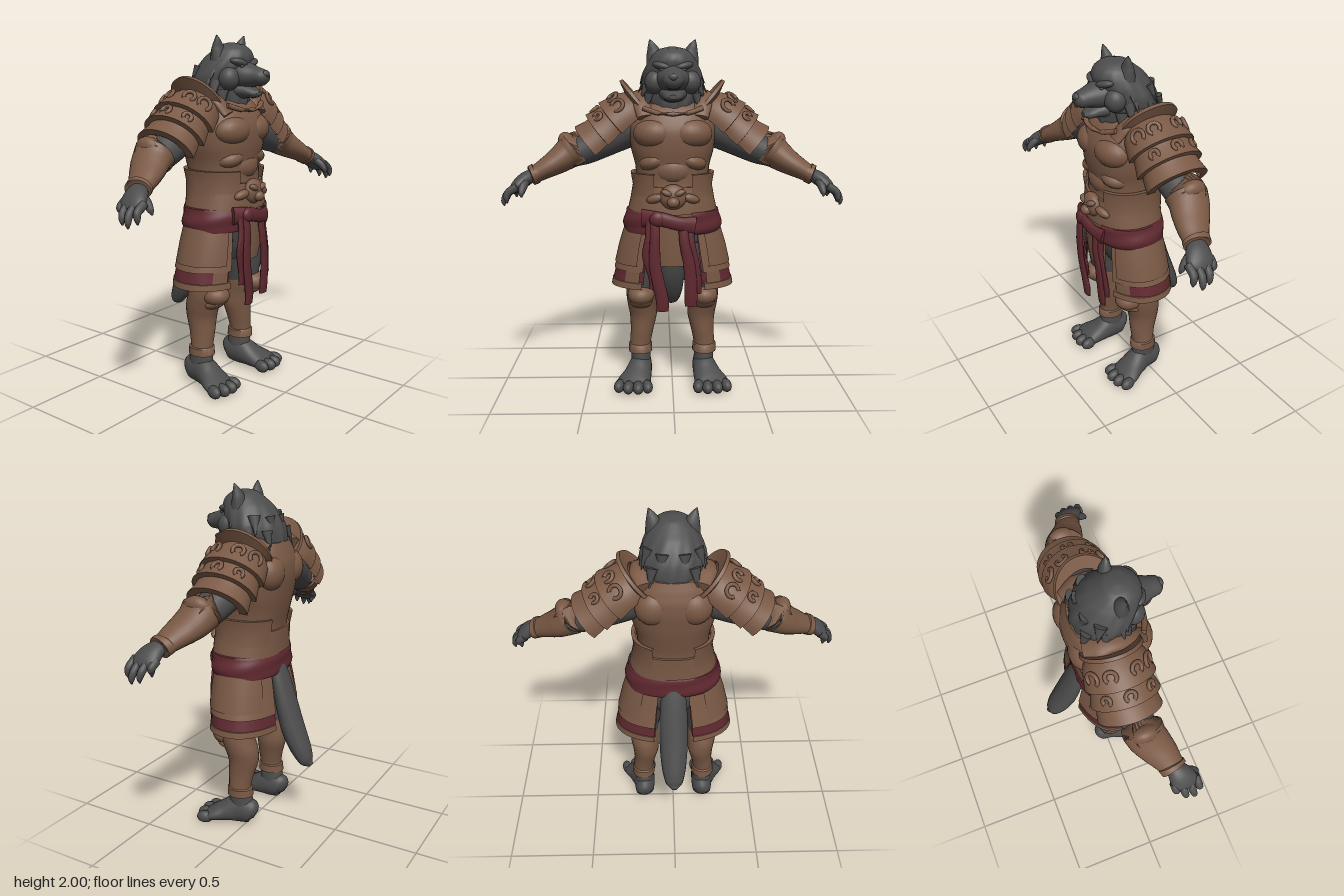
import * as THREE from 'three';
import { toCreasedNormals } from 'three/addons/utils/BufferGeometryUtils.js';

const V = (x, y, z) => new THREE.Vector3(x, y, z);
const UP = V(0, 1, 0), X = V(1, 0, 0), Z = V(0, 0, 1);
const TAU = Math.PI * 2;

// Skin a row of oval sections [x, y, z, a, b]; a runs along ref, b across it.
function loft(secs, { ref = X, dir = null, arc = [0, TAU], seg = 28, sub = 4, pow = 1, ruffle = null, crease = 0.9 } = {}) {
  const path = new THREE.CatmullRomCurve3(secs.map(s => V(s[0], s[1], s[2])));
  const size = new THREE.CatmullRomCurve3(secs.map(s => V(s[3], s[4], 0)));
  const n = (secs.length - 1) * sub, pos = [], idx = [], row = seg + 1;
  const pw = k => Math.sign(k) * Math.abs(k) ** pow;
  for (let i = 0; i <= n; i++) {
    const f = i / n, c = path.getPoint(f), r = size.getPoint(f), t = dir ? dir.clone() : path.getTangent(f);
    const u = ref.clone().addScaledVector(t, -ref.dot(t)).normalize(), v = u.clone().cross(t);
    for (let j = 0; j <= seg; j++) {
      const th = arc[0] + (arc[1] - arc[0]) * j / seg, k = ruffle ? ruffle(th, f) : 1;
      const p = c.clone().addScaledVector(u, r.x * k * pw(Math.cos(th))).addScaledVector(v, r.y * k * pw(Math.sin(th)));
      pos.push(p.x, p.y, p.z);
      if (i < n && j < seg) {
        const q = i * row + j;
        idx.push(q, q + row, q + 1, q + 1, q + row, q + row + 1);
      }
    }
  }
  if (arc[1] - arc[0] > TAU - 0.01) for (const [i, flip] of [[0, 0], [n, 1]]) {
    const c = path.getPoint(i / n), m = pos.length / 3;
    pos.push(c.x, c.y, c.z);
    for (let j = 0; j < seg; j++) {
      const q = i * row + j;
      flip ? idx.push(m, q + 1, q) : idx.push(m, q, q + 1);
    }
  }
  const g = new THREE.BufferGeometry();
  g.setAttribute('position', new THREE.Float32BufferAttribute(pos, 3));
  g.setIndex(idx);
  return toCreasedNormals(g, crease);
}

// Upright loft from [y, halfWidth, back z, front z, centre x], listed bottom to top.
const upright = (rows, o = {}) => loft(rows.map(([y, w, b, f, x = 0]) => [x, y, (b + f) / 2, w, (f - b) / 2]), { dir: UP, ...o });

function blob(x, y, z, rx, ry, rz, rot = [0, 0, 0]) {
  const g = new THREE.SphereGeometry(1, 20, 14).scale(rx, ry, rz);
  return g.rotateX(rot[0]).rotateY(rot[1]).rotateZ(rot[2]).translate(x, y, z);
}

function mirrored(geo) {
  const g = (geo.index ? geo.toNonIndexed() : geo.clone()).scale(-1, 1, 1), idx = [];
  for (let i = 0; i < g.attributes.position.count; i += 3) idx.push(i, i + 2, i + 1);
  g.setIndex(idx);
  return g;
}

export function createModel() {
  const root = new THREE.Group();
  root.name = 'armouredWolfWarrior';
  const mat = (name, color) => Object.assign(new THREE.MeshStandardMaterial({ color, side: THREE.DoubleSide }), { name });
  const fur = mat('greyFur', 0x4c4c4d), leather = mat('brownLeather', 0x7a5945), cloth = mat('redCloth', 0x602930);
  const add = (name, geo, m) => {
    const mesh = new THREE.Mesh(geo, m);
    mesh.name = name;
    root.add(mesh);
  };
  const pair = (name, geo, m) => {
    add(name + 'Left', geo, m);
    add(name + 'Right', mirrored(geo), m);
  };

  // Breastplate with muscle relief
  add('cuirass', upright([[1.04, .24, -.12, .25], [1.13, .222, -.12, .25], [1.22, .205, -.125, .24], [1.31, .212, -.145, .245],
    [1.4, .235, -.165, .26], [1.5, .245, -.18, .262], [1.58, .235, -.178, .235], [1.64, .205, -.16, .19], [1.69, .15, -.14, .1]], { pow: .85, seg: 40 }), leather);
  pair('pectoral', blob(.105, 1.49, .185, .115, .085, .088, [0, .25, 0]), leather);
  pair('ribPlate', blob(.1, 1.34, .16, .09, .055, .09, [0, .3, -.3]), leather);
  add('bellyPlate', blob(0, 1.29, .175, .12, .09, .085), leather);
  pair('shoulderBlade', blob(.11, 1.53, -.11, .1, .1, .08), leather);
  pair('shoulderStrap', loft([[.15, 1.58, .2, .045, .02], [.17, 1.66, .13, .05, .025], [.17, 1.7, 0, .06, .03], [.14, 1.66, -.12, .06, .03]]), leather);
  add('neckline', loft([[-.16, 1.63, .2, .015, .015], [-.08, 1.605, .235, .013, .015], [0, 1.6, .245, .013, .015],
    [.08, 1.605, .235, .013, .015], [.16, 1.63, .2, .015, .015]], { ref: UP, seg: 10 }), leather);

  // Belt with flared hip guards and a mask-shaped buckle
  add('belt', upright([[1.05, .24, -.115, .25], [1.05, .257, -.135, .272], [1.12, .24, -.133, .268], [1.2, .225, -.137, .256], [1.2, .2, -.12, .23]],
    { sub: 1, pow: .88, seg: 40 }), leather);
  pair('hipGuard', upright([[1.12, .24, -.135, .265], [1.2, .226, -.142, .262], [1.27, .238, -.155, .27], [1.27, .215, -.14, .25]],
    { sub: 1, pow: .88, arc: [-1.1, 1.15] }), leather);
  add('buckle', blob(0, 1.15, .262, .075, .07, .045), leather);
  add('buckleSnout', blob(0, 1.125, .3, .035, .03, .032), leather);
  pair('buckleBrow', blob(.035, 1.175, .29, .034, .018, .024, [0, 0, .4]), leather);
  pair('buckleScroll', blob(.1, 1.14, .255, .05, .025, .025, [0, .3, -.3]), leather);

  // Head, mane and face
  add('mane', upright([[1.56, .11, -.1, .19], [1.64, .145, -.13, .2], [1.7, .168, -.135, .2], [1.77, .178, -.12, .2], [1.83, .16, -.088, .22],
    [1.88, .134, -.05, .23], [1.92, .108, 0, .215], [1.95, .068, .04, .175], [1.962, .015, .09, .12]],
    { seg: 60, ruffle: (th, f) => 1 + .022 * Math.sin(th * 13 + f * 9) * Math.min(1, 3.2 * (1 - f) * (1 - f)) }), fur);
  for (const [x, y, z, lean, turn] of [[.165, 1.78, .08, .5, 0], [.165, 1.72, .11, .35, -.3], [.14, 1.67, .15, .2, -.6], [.15, 1.83, .1, .6, 0],
    [.17, 1.74, -.01, .4, .4], [.15, 1.8, -.04, .4, .7], [.12, 1.72, -.11, .3, 1.1], [.06, 1.79, -.095, .25, 1.4]]) {
    const tuft = new THREE.ConeGeometry(.035, .12, 8).rotateX(Math.PI).scale(.6, 1, 1).rotateZ(lean).rotateY(turn).translate(x, y - .02, z);
    pair('furTuft', tuft, fur);
  }
  add('muzzle', loft([[0, 1.79, .15, .1, .085], [0, 1.785, .22, .085, .07], [0, 1.78, .28, .06, .052], [0, 1.775, .325, .05, .042], [0, 1.772, .346, .028, .024]]), fur);
  add('lowerJaw', loft([[0, 1.71, .15, .085, .06], [0, 1.7, .23, .06, .036], [0, 1.69, .275, .045, .024], [0, 1.69, .3, .02, .012]]), fur);
  add('nose', blob(0, 1.795, .337, .027, .02, .018), fur);
  pair('brow', blob(.06, 1.855, .2, .055, .022, .035, [0, .4, .25]), fur);
  pair('cheek', blob(.095, 1.77, .16, .06, .065, .06), fur);
  pair('eye', blob(.058, 1.835, .222, .014, .009, .01), fur);
  pair('ear', loft([[.095, 1.87, .09, .05, .045], [.103, 1.93, .09, .04, .032], [.115, 1.97, .096, .022, .018], [.126, 2, .1, .003, .003]], { seg: 14 }), fur);

  // Arms and bracers
  pair('arm', loft([[.2, 1.53, 0, .12, .11], [.32, 1.48, .005, .11, .105], [.42, 1.43, .02, .1, .095], [.5, 1.39, .03, .09, .085],
    [.6, 1.35, .05, .075, .065], [.7, 1.29, .1, .06, .045], [.8, 1.25, .135, .045, .035]], { ref: Z }), fur);
  pair('bracer', loft([[.565, 1.39, .035, .09, .08], [.56, 1.395, .035, .112, .108], [.6, 1.365, .045, .108, .088], [.65, 1.33, .07, .1, .074],
    [.71, 1.295, .1, .086, .06], [.765, 1.265, .122, .07, .05], [.79, 1.255, .132, .066, .05]], { ref: Z }), leather);
  pair('wristBand', loft([[.762, 1.268, .122, .06, .045], [.767, 1.266, .122, .075, .057], [.793, 1.253, .131, .073, .056], [.797, 1.252, .132, .05, .04]],
    { ref: Z, sub: 1 }), leather);
  pair('elbowGuard', blob(.595, 1.425, .03, .05, .07, .08, [0, 0, -.5]), leather);

  // Hands
  pair('palm', loft([[.78, 1.26, .13, .045, .035], [.825, 1.235, .15, .065, .04], [.865, 1.2, .165, .075, .036], [.89, 1.17, .17, .06, .025]], { ref: Z }), fur);
  [[.105, .875, 1.13], [.145, .92, 1.105], [.19, .928, 1.095], [.23, .905, 1.115]].forEach(([z, x, y]) =>
    pair('finger', loft([[.855, 1.205, z, .022, .024], [(.865 + x) / 2 + .022, (1.2 + y) / 2 + .012, z + .004, .021, .021],
      [x + .008, y + .025, z + .01, .016, .016], [x + .006, y, z + .01, .004, .004]], { ref: Z, seg: 12 }), fur));
  pair('thumb', loft([[.815, 1.235, .18, .025, .025], [.825, 1.2, .225, .023, .023], [.83, 1.17, .25, .016, .016], [.828, 1.15, .258, .004, .004]], { ref: Z, seg: 12 }), fur);

  // Layered pauldrons with a raised collar and scroll relief
  const tilt = V(.76, -.65, 0).normalize(), arch = { ref: Z, dir: tilt, sub: 1, arc: [-.3, Math.PI + .3], seg: 32 };
  const cz = .012;
  pair('pauldron', loft([[.18, 1.63, cz, .13, .115], [.22, 1.6, cz, .165, .138], [.26, 1.57, cz, .178, .15], [.31, 1.53, cz, .19, .165], [.313, 1.527, cz, .165, .14],
    [.34, 1.5, cz, .172, .148], [.385, 1.465, cz, .188, .163], [.388, 1.462, cz, .16, .135], [.41, 1.44, cz, .165, .14], [.455, 1.405, cz, .176, .152], [.457, 1.403, cz, .13, .115]], arch), leather);
  pair('pauldronCollar', loft([[.175, 1.64, cz, .11, .1], [.165, 1.65, cz, .158, .178], [.18, 1.638, cz, .165, .183], [.195, 1.625, cz, .13, .115]], arch), leather);
  const across = Z.clone().cross(tilt);
  for (const [x, y, a, b, th, r] of [[.25, 1.58, .178, .15, .6, .034], [.25, 1.58, .178, .15, 1.15, .03], [.25, 1.58, .178, .15, 1.95, .03],
    [.25, 1.58, .178, .15, 2.55, .034], [.345, 1.5, .175, .152, 1.57, .026], [.345, 1.5, .175, .152, .8, .022], [.345, 1.5, .175, .152, 2.3, .022]]) {
    const out = Z.clone().multiplyScalar(Math.cos(th)).addScaledVector(across, Math.sin(th));
    const p = V(x, y, cz).addScaledVector(Z, a * Math.cos(th)).addScaledVector(across, b * Math.sin(th));
    const scroll = new THREE.TorusGeometry(r, .011, 8, 18, 5).applyQuaternion(new THREE.Quaternion().setFromUnitVectors(Z, out)).translate(p.x, p.y, p.z);
    pair('pauldronScroll', scroll, leather);
  }

  // Hips, thighs and lower legs
  add('hips', upright([[.74, .13, -.04, .15], [.82, .2, -.09, .19], [.95, .23, -.1, .22], [1.06, .23, -.1, .23]]), fur);
  pair('thigh', upright([[.5, .078, -.05, .13, .18], [.6, .09, -.04, .17, .175], [.72, .105, -.06, .19, .165], [.88, .115, -.09, .2, .13]]), fur);
  pair('greave', upright([[.19, .062, -.03, .11, .19], [.24, .062, -.025, .11, .19], [.32, .067, -.04, .115, .18], [.41, .08, -.065, .12, .172],
    [.48, .086, -.066, .14, .178], [.55, .09, -.045, .165, .18], [.61, .086, -.03, .175, .18]]), leather);
  pair('ankleBand', upright([[.19, .05, -.02, .1, .19], [.19, .07, -.04, .12, .19], [.235, .069, -.036, .118, .19], [.245, .055, -.02, .105, .19]], { sub: 1 }), leather);
  pair('kneeGuard', blob(.183, .56, .135, .078, .06, .085), leather);
  pair('kneeLip', blob(.183, .51, .12, .066, .035, .078, [-.3, 0, 0]), leather);

  // Feet with four toes
  pair('ankle', upright([[.08, .06, -.055, .11, .187], [.15, .058, -.04, .11, .188], [.23, .055, -.025, .1, .19]]), fur);
  pair('foot', loft([[.18, .07, -.06, .025, .03], [.185, .083, -.035, .058, .075], [.19, .088, .05, .068, .086], [.207, .064, .13, .083, .063],
    [.227, .043, .2, .1, .042], [.23, .035, .235, .09, .03]]), fur);
  [[.148, .235], [.2, .25], [.256, .245], [.308, .222]].forEach(([x, z], i) =>
    pair('toe', blob(x, .037, z, .031, .037, .05, [0, (i - 1) * .15, 0]), fur));

  // Tail hanging behind
  add('tail', loft([[0, 1, -.09, .06, .04], [0, .9, -.125, .075, .045], [0, .75, -.165, .083, .058], [0, .6, -.21, .082, .066],
    [0, .48, -.265, .07, .058], [0, .41, -.305, .05, .04], [0, .385, -.335, .012, .012]], { ruffle: (th, f) => 1 + .03 * f * Math.sin(th * 9 + f * 4) }), fur);

  // Skirt: front panel and two tiers of side plates over a red lining
  add('frontPanel', upright([[.755, .2, -.13, .245], [.755, .2, -.13, .258], [.85, .25, -.13, .264], [1.05, .255, -.13, .262]], { sub: 1, arc: [1.12, 2.02] }), leather);
  const side = { sub: 1, pow: .9, arc: [-1.27, 1.08] };
  pair('skirtLining', upright([[.64, .328, -.15, .235], [.8, .295, -.135, .235], [.99, .25, -.115, .23]], side), cloth);
  pair('lowerPlate', upright([[.72, .325, -.152, .25], [.715, .337, -.165, .262], [.8, .31, -.148, .255], [.95, .265, -.12, .24]], side), leather);
  pair('lowerStripe', upright([[.645, .345, -.166, .255], [.72, .327, -.156, .252]], { ...side, arc: [-1.27, .7] }), cloth);
  pair('lowerFrontPlate', upright([[.645, .345, -.166, .255], [.72, .33, -.158, .256]], { ...side, arc: [.68, 1.02] }), leather);
  pair('lowerHem', upright([[.615, .335, -.155, .245], [.615, .354, -.172, .262], [.65, .348, -.169, .259], [.655, .335, -.155, .245]], side), leather);
  pair('upperPlate', upright([[.755, .312, -.14, .25], [.75, .333, -.158, .268], [.86, .307, -.144, .264], [.985, .268, -.125, .25]],
    { ...side, arc: [-.95, .95] }), leather);

  // Sash and hanging ends
  add('sash', upright([[.93, .25, -.115, .235], [.935, .277, -.136, .262], [.97, .283, -.142, .272], [1.02, .274, -.14, .278], [1.06, .262, -.135, .272], [1.07, .23, -.11, .24]],
    { pow: .9, seg: 48, sub: 3, arc: [-4.35, 1.22], ruffle: (th, f) => 1 + .012 * Math.sin(f * 16 + th * 2) }), cloth);
  add('sashFront', loft([[-.17, 1.03, .245, .05, .02], [-.07, 1.03, .285, .04, .022], [.03, 1.005, .285, .038, .02], [.12, .99, .262, .05, .02]], { ref: UP, seg: 14 }), cloth);
  add('sashKnot', blob(-.085, 1.03, .288, .045, .042, .027), cloth);
  for (const [x0, x1, x2, y0, y1, z] of [[-.1, -.1, -.06, 1.03, .505, .285], [.055, .09, .1, 1, .53, .275], [-.125, -.14, -.1, 1.02, .63, .268], [.09, .11, .125, .99, .6, .262]])
    add('sashEnd', loft([[x0, y0, z, .026, .013], [x0 * .8 + x1 * .2, y0 - .1, z + .01, .028, .014], [x1, (y0 + y1) / 2, z + .008, .033, .013],
      [x2, y1 + .06, z - .002, .036, .015], [x2, y1, z - .006, .034, .012]], { seg: 16 }), cloth);
  return root;
}
